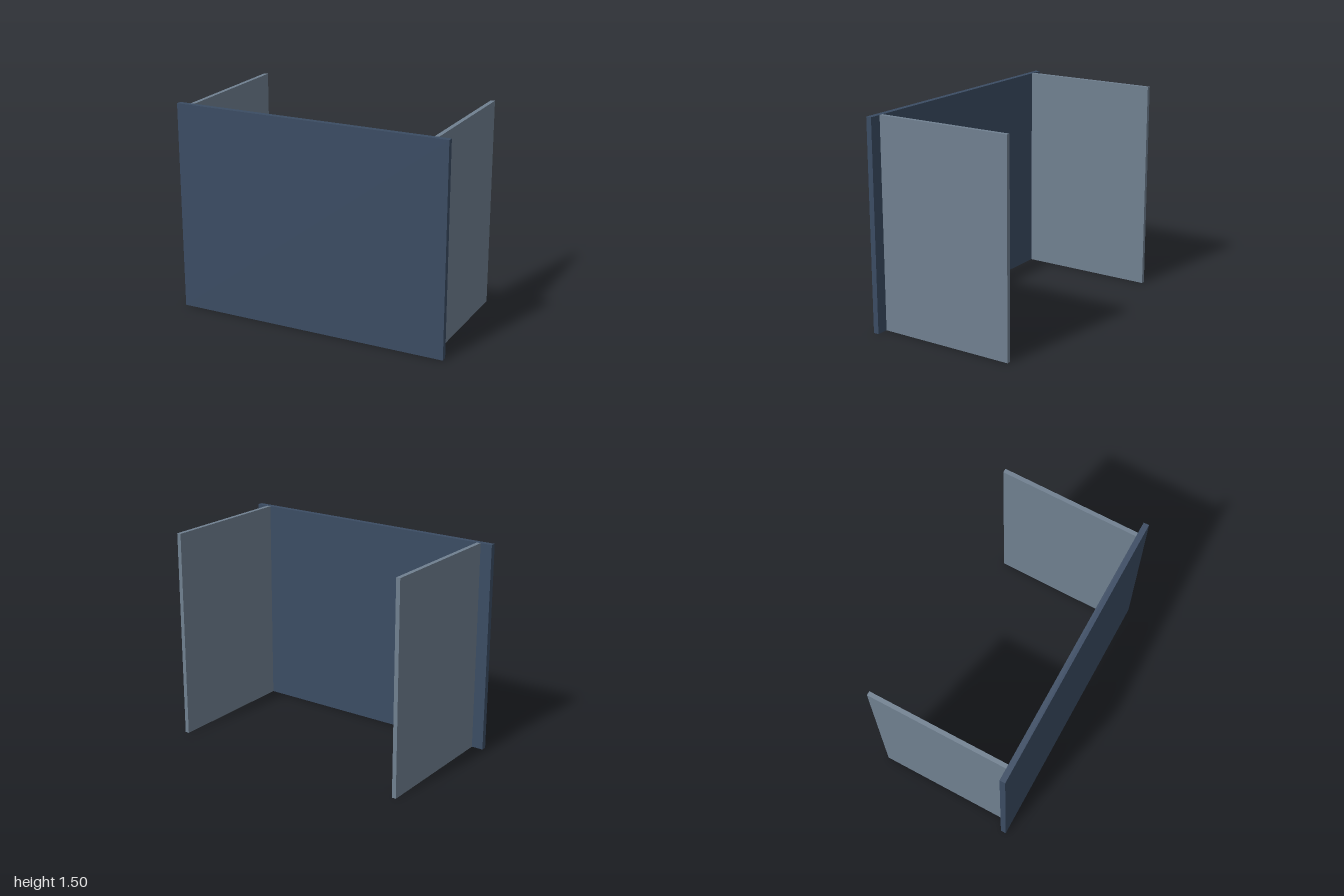
import * as THREE from 'three';

const HEIGHT = 1.5;
const FRONT_Z = 0.52; // front face of the front panel
const THICK = 0.04;

export function createModel() {
  const group = new THREE.Group();
  group.name = 'panelScreen';

  const frontMaterial = new THREE.MeshStandardMaterial({ color: 0x3b4c63 });
  const sideMaterial = new THREE.MeshStandardMaterial({ color: 0x708090 });

  // Upright panel standing on the ground
  function addPanel(name, width, depth, x, z, material) {
    const mesh = new THREE.Mesh(new THREE.BoxGeometry(width, HEIGHT, depth), material);
    mesh.name = name;
    mesh.position.set(x, HEIGHT / 2, z);
    group.add(mesh);
  }

  // Wide front panel
  addPanel('frontPanel', 2, THICK, 0, FRONT_Z - THICK / 2, frontMaterial);

  // Thin side panels running back from the front panel
  const sideDepth = 2 * FRONT_Z - THICK;
  for (const [name, side] of [['leftPanel', 1], ['rightPanel', -1]]) {
    addPanel(name, 0.03, sideDepth, side * 0.9, -THICK / 2, sideMaterial);
  }

  return group;
}
